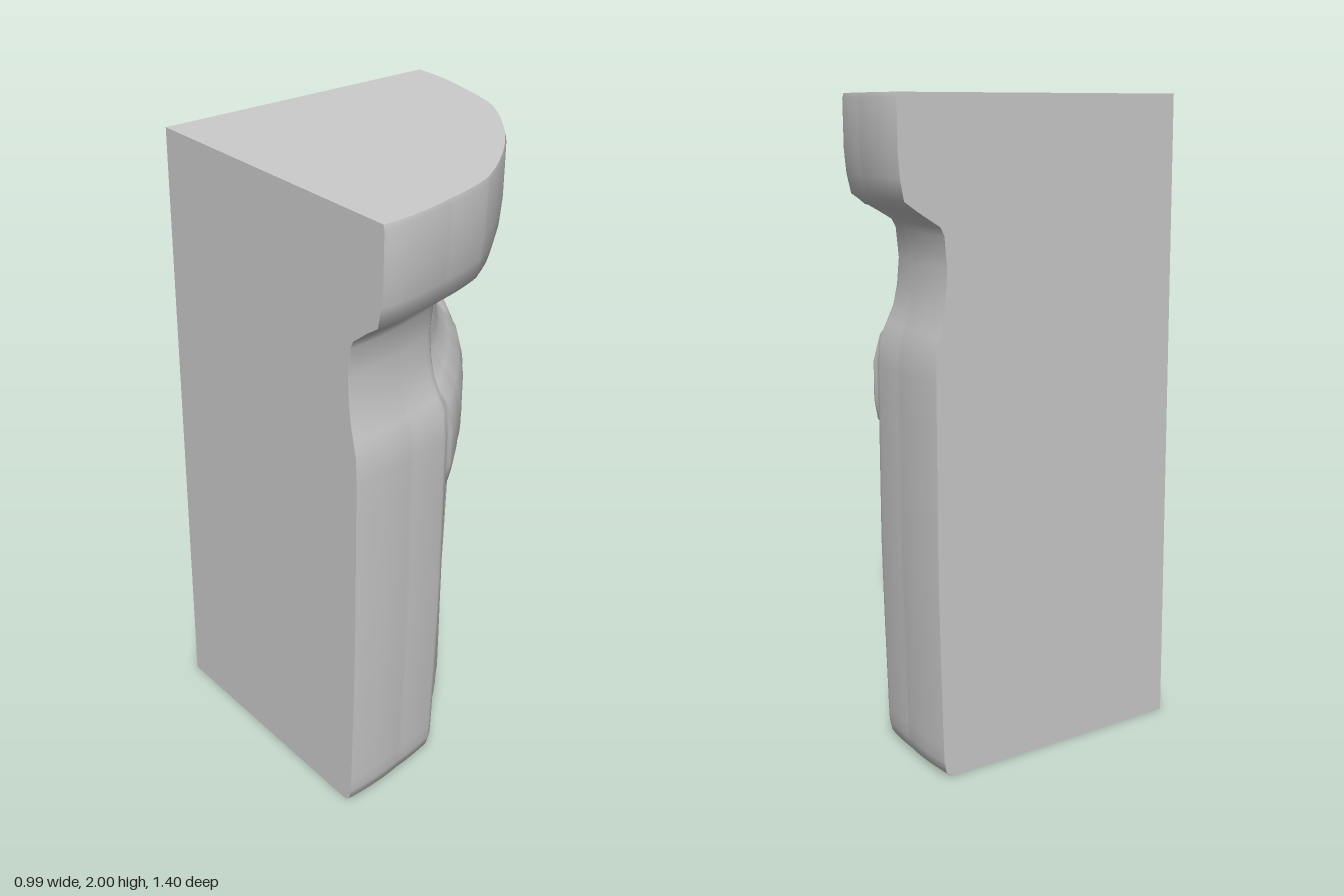
import * as THREE from 'three';
import { toCreasedNormals } from 'three/addons/utils/BufferGeometryUtils.js';

const AXIS_X = -0.5, HALF = Math.PI / 4, COLS = 192, PANEL = 0.322;

// Matching profile rows from bottom to top:
// body radius, body y, panel radius, panel y, how strongly the ridge beside the panel bulges
const ROWS = [
  [0.845, 0, 0.795, 0, 0.9], [0.862, 0.015, 0.835, 0.015, 1], [0.87, 0.05, 0.856, 0.04, 1],
  [0.872, 0.1, 0.861, 0.09, 1], [0.88, 0.4, 0.861, 0.4, 1], [0.885, 0.65, 0.861, 0.65, 1],
  [0.885, 0.97, 0.865, 0.97, 1], [0.885, 1.0, 0.87, 1.008, 1], [0.885, 1.02, 0.891, 1.02, 1],
  [0.885, 1.08, 0.901, 1.08, 1], [0.885, 1.2, 0.901, 1.2, 1], [0.882, 1.28, 0.884, 1.28, 0.9],
  [0.87, 1.33, 0.85, 1.33, 0.65], [0.858, 1.38, 0.82, 1.38, 0.4], [0.85, 1.44, 0.811, 1.43, 0.3],
  [0.845, 1.52, 0.805, 1.54, 0.25], [0.853, 1.61, 0.803, 1.66, 0.25], [0.865, 1.635, 0.815, 1.672, 0.25],
  [0.93, 1.68, 0.933, 1.676, 0], [0.974, 1.71, 0.972, 1.71, 0], [0.986, 1.77, 0.986, 1.77, 0],
  [0.992, 1.84, 0.992, 1.84, 0], [0.993, 1.985, 0.993, 1.985, 0], [0.989, 2, 0.989, 2, 0],
];
const FLUTED = [3, 6], RIM = 18;

// Slightly faceted outlines: angle, radius factor
const RIM_SHAPE = [[0, 1], [0.15, 1.002], [0.335, 1.013], [0.527, 1.0], [0.714, 1.002], [0.79, 1]];
const BODY_SHAPE = [[0, 1], [0.15, 1.006], [0.32, 1.032], [0.37, 1.044], [0.43, 1.033], [0.54, 1.014], [0.7, 1.004], [0.79, 1]];

function shapeFactor(shape, a) {
  const k = shape.findIndex(([t], i) => i > 0 && a <= t);
  const [t0, f0] = shape[k - 1], [t1, f1] = shape[k];
  return THREE.MathUtils.lerp(f0, f1, (a - t0) / (t1 - t0));
}

// Point of the curved outer wall
function wallPoint(t, j) {
  const [rb, yb, rp, yp, bulge] = ROWS[j], a = Math.abs(t);
  const w = 1 - THREE.MathUtils.smoothstep(a, PANEL - 0.015, PANEL + 0.025);
  let r = THREE.MathUtils.lerp(rb, rp, w);
  const y = THREE.MathUtils.lerp(yb, yp, w);
  if (j >= RIM) r *= shapeFactor(RIM_SHAPE, a);
  else {
    r *= 1 + bulge * (shapeFactor(BODY_SHAPE, a) - 1);
    r += 0.012 * Math.sin(t) * (1 - w);
  }
  if (j >= FLUTED[0] && j <= FLUTED[1]) {
    r -= 0.002 * w * (1 - Math.cos(t * 2 * Math.PI / 0.13));
    if (a < 0.003) r -= 0.005; // centre seam
  }
  return [AXIS_X + r * Math.cos(t), y, r * Math.sin(t)];
}

// Surface through vertical columns of points
function loft(columns) {
  const n = columns[0].length, index = [];
  for (let i = 0; i < columns.length - 1; i++) {
    for (let j = 0; j < n - 1; j++) {
      const a = i * n + j, d = a + n;
      index.push(a, a + 1, d + 1, a, d + 1, d);
    }
  }
  return build(columns.flat(), index);
}

function build(points, index) {
  const g = new THREE.BufferGeometry();
  g.setAttribute('position', new THREE.Float32BufferAttribute(points.flat(), 3));
  g.setIndex(index);
  return toCreasedNormals(g, 1);
}

// Flat sector between the axis and one row of the wall
function sector(rim, up) {
  const index = [];
  for (let i = 1; i < rim.length; i++) index.push(0, up ? i + 1 : i, up ? i : i + 1);
  return build([[AXIS_X, rim[0][1], 0], ...rim], index);
}

export function createModel() {
  const group = new THREE.Group();
  const material = new THREE.MeshStandardMaterial({ color: 0xcccccc });
  const add = (name, geometry) => {
    const mesh = new THREE.Mesh(geometry, material);
    mesh.name = name;
    group.add(mesh);
  };

  const wall = [];
  for (let i = 0; i <= COLS; i++) {
    const t = HALF * (2 * i / COLS - 1);
    wall.push(ROWS.map((_, j) => wallPoint(t, j)));
  }
  add('outerWall', loft(wall));

  // Straight cut faces meeting at the axis
  const toAxis = (column) => column.map(([, y]) => [AXIS_X, y, 0]);
  const first = wall[0], last = wall[COLS];
  add('frontCutFace', loft([last, toAxis(last)]));
  add('backCutFace', loft([toAxis(first), first]));

  add('topFace', sector(wall.map((c) => c[ROWS.length - 1]), true));
  add('bottomFace', sector(wall.map((c) => c[0]), false));
  return group;
}
